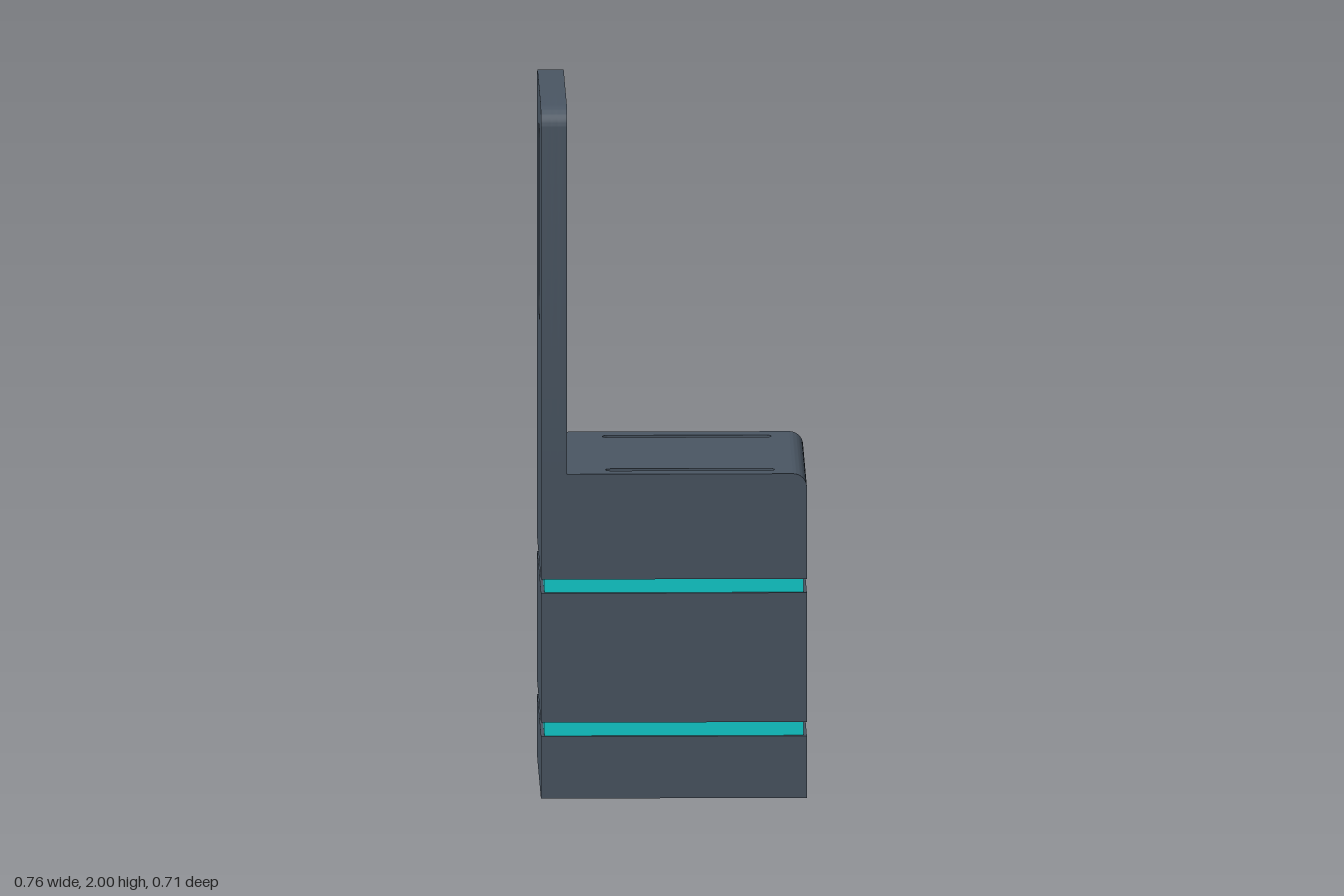
import * as THREE from 'three';
import { toCreasedNormals } from 'three/addons/utils/BufferGeometryUtils.js';

const X = 0.38, Z = 0.357, SEAT = 0.94, BACK = -0.305;
const SLOT_Z = [0.283, -0.277], SLOT_W = 0.035;

// Rectangle with a separate radius for its lower and upper corners
function rounded(path, x0, y0, x1, y1, top, bottom = top) {
  path.moveTo(x0 + bottom, y0);
  path.lineTo(x1 - bottom, y0);
  if (bottom) path.absarc(x1 - bottom, y0 + bottom, bottom, -Math.PI / 2, 0);
  path.lineTo(x1, y1 - top);
  if (top) path.absarc(x1 - top, y1 - top, top, 0, Math.PI / 2);
  path.lineTo(x0 + top, y1);
  if (top) path.absarc(x0 + top, y1 - top, top, Math.PI / 2, Math.PI);
  path.lineTo(x0, y0 + bottom);
  if (bottom) path.absarc(x0 + bottom, y0 + bottom, bottom, Math.PI, Math.PI * 1.5);
  return path;
}

function extrude(shape, depth) {
  return new THREE.ExtrudeGeometry(shape, { depth, bevelEnabled: false, curveSegments: 8 });
}
// Shape drawn as (-z, y), thickened from x0 to x1
const upright = (shape, x0, x1) => extrude(shape, x1 - x0).rotateY(Math.PI / 2).translate(x0, 0, 0);
// Shape drawn as (x, -z), thickened from y0 to y1
const flat = (shape, y0, y1) => extrude(shape, y1 - y0).rotateX(-Math.PI / 2).translate(0, y0, 0);

export function createModel() {
  const group = new THREE.Group();
  const shell = new THREE.MeshStandardMaterial({ color: 0x4a5663 });
  const glow = new THREE.MeshStandardMaterial({ color: 0x10d0d0 });
  const add = (name, geometry, material) => {
    const mesh = new THREE.Mesh(toCreasedNormals(geometry, 0.6), material);
    mesh.name = name;
    group.add(mesh);
  };
  const block = (y0, y1, inset) =>
    new THREE.BoxGeometry(2 * (X - inset), y1 - y0, 2 * (Z - inset)).translate(0, (y0 + y1) / 2, 0);

  // Base blocks separated by recessed bands
  add('lowerBlock', block(0, 0.18, 0), shell);
  add('lowerBand', block(0.18, 0.22, 0.01), glow);
  add('middleBlock', block(0.22, 0.595, 0), shell);
  add('upperBand', block(0.595, 0.635, 0.01), glow);

  // Seat block with a rounded front edge
  const r = 0.04, plateY = SEAT - 0.022;
  const profile = new THREE.Shape();
  profile.moveTo(-X, 0.635);
  profile.lineTo(X, 0.635);
  profile.lineTo(X, SEAT - r);
  profile.absarc(X - r, SEAT - r, r, 0, Math.PI / 2);
  profile.lineTo(X - r, plateY);
  profile.lineTo(-X, plateY);
  add('seatBlock', extrude(profile, 2 * Z).translate(0, 0, -Z), shell);

  // Seat top with two light slots
  const seatSlot = (path, z) =>
    rounded(path, -0.195, -z - SLOT_W / 2, 0.288, -z + SLOT_W / 2, SLOT_W / 2 - 0.0002);
  const top = rounded(new THREE.Shape(), -X, -Z, X - r, Z, 0);
  for (const z of SLOT_Z) {
    top.holes.push(seatSlot(new THREE.Path(), z));
    add('seatLight', flat(seatSlot(new THREE.Shape(), z), plateY, SEAT - 0.016), glow);
  }
  add('seatTop', flat(top, plateY, SEAT), shell);

  // Backrest in three layers; the middle one forms a groove around the window
  const window = (path, grow) =>
    rounded(path, -0.1 - grow, 1.335 - grow, 0.095 + grow, 1.89 + grow, 0.06 + grow);
  const backSlot = (path, z) =>
    rounded(path, -z - SLOT_W / 2, 1.05, -z + SLOT_W / 2, 1.89, 0.012);
  const panel = (grow) => {
    const shape = rounded(new THREE.Shape(), -Z, SEAT, Z, 2, 0.06, 0);
    shape.holes.push(window(new THREE.Path(), grow));
    return shape;
  };
  const x1 = -0.352, x2 = -0.332;
  const face = panel(0);
  for (const z of SLOT_Z) {
    face.holes.push(backSlot(new THREE.Path(), z));
    add('backLight', upright(backSlot(new THREE.Shape(), z), x2, BACK - 0.016), glow);
  }
  add('backRear', upright(panel(0), -X, x1), shell);
  add('backCore', upright(panel(0.02), x1, x2), shell);
  add('backFace', upright(face, x2, BACK), shell);

  // Light ring sunk in the window groove
  const ring = window(new THREE.Shape(), 0.02);
  ring.holes.push(window(new THREE.Path(), 0.01));
  add('windowLight', upright(ring, x1, x2), glow);

  return group;
}
